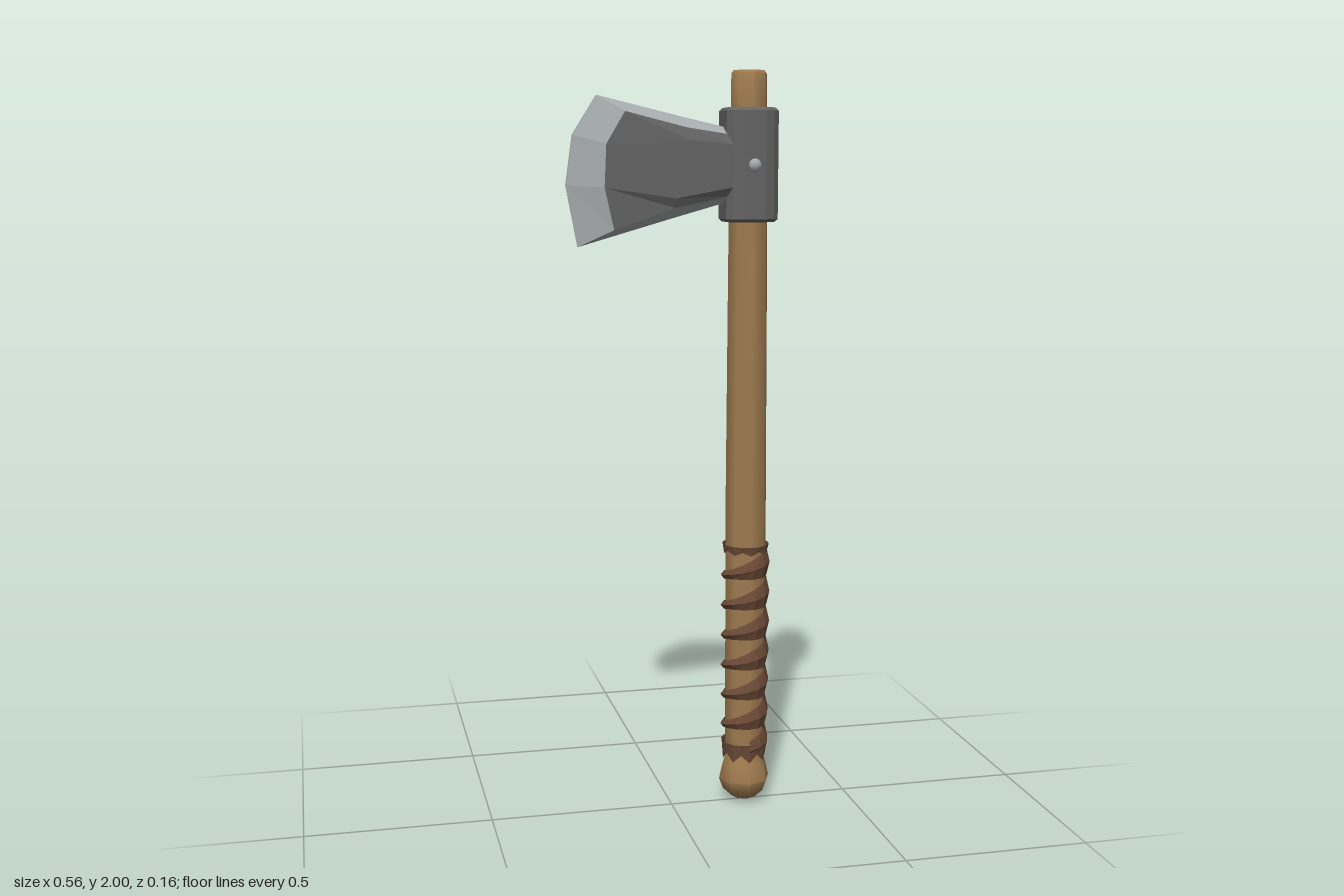
import * as THREE from 'three';
import { toCreasedNormals } from 'three/addons/utils/BufferGeometryUtils.js';

const AXIS_X = 0.207; // handle axis

const mat = (color, extra = {}) => new THREE.MeshStandardMaterial({ color, ...extra });

function add(parent, name, geometry, material) {
  const mesh = new THREE.Mesh(geometry, material);
  mesh.name = name;
  parent.add(mesh);
  return mesh;
}

// Surface between rows of points; every row has the same length.
function skin(rows, flip) {
  const pos = [];
  const tri = (...pts) => (flip ? pts.reverse() : pts).forEach((p) => pos.push(...p));
  for (let i = 0; i < rows.length - 1; i++) {
    for (let j = 0; j < rows[i].length - 1; j++) {
      const a = rows[i][j], b = rows[i + 1][j], c = rows[i + 1][j + 1], d = rows[i][j + 1];
      tri(a, b, c);
      tri(a, c, d);
    }
  }
  const g = new THREE.BufferGeometry();
  g.setAttribute('position', new THREE.Float32BufferAttribute(pos, 3));
  g.computeVertexNormals();
  return g;
}

// Spiral leather strip, widest on the +x side, leaving wood showing elsewhere.
function wrapGeometry() {
  const turns = 6.6, pitch = 0.085, steps = 80, rows = [[], [], []];
  for (let i = 0; i <= steps; i++) {
    const a = (i / steps) * turns * Math.PI * 2;
    const half = pitch * (0.3 + 0.17 * Math.sin(a));
    const y = 0.165 + (a / (Math.PI * 2)) * pitch;
    [[-half, 0.058], [0, 0.067], [half, 0.058]].forEach(([dy, r], k) => {
      const yy = THREE.MathUtils.clamp(y + dy, 0.15, 0.74);
      rows[k].push([Math.sin(a) * r, yy, Math.cos(a) * r]);
    });
  }
  return skin(rows, true);
}

// Leather band with a ragged lower edge.
function cuffGeometry(y0, y1, rag) {
  const lower = [], upper = [];
  for (let i = 0; i <= 16; i++) {
    const a = (i / 16) * Math.PI * 2;
    const s = Math.sin(a), c = Math.cos(a);
    lower.push([s * 0.06, y0 + (i % 2) * rag, c * 0.06]);
    upper.push([s * 0.064, y1, c * 0.064]);
  }
  return skin([lower, upper], true);
}

export function createModel() {
  const root = new THREE.Group();
  root.name = 'axe';
  const wood = mat(0xa07c50);
  const leather = mat(0x6a4936, { flatShading: true, side: THREE.DoubleSide });
  const iron = mat(0x636363, { flatShading: true });
  const ironBlade = mat(0x636363, { flatShading: true, side: THREE.DoubleSide });
  const steel = mat(0xa6abad, { flatShading: true, side: THREE.DoubleSide });

  // Handle parts share one upright axis
  const shaft = new THREE.Group();
  shaft.name = 'shaft';
  shaft.position.x = AXIS_X;
  root.add(shaft);

  const profile = (pts) => pts.map(([r, y]) => new THREE.Vector2(r, y));
  const lathe = (pts) => toCreasedNormals(new THREE.LatheGeometry(profile(pts), 8), 0.9);
  add(shaft, 'handle', lathe([[0.05, 0.1], [0.054, 0.2], [0.057, 0.8], [0.053, 1.6],
    [0.049, 1.9], [0.048, 1.992], [0.042, 2], [0, 2]]), wood);
  add(shaft, 'pommel', lathe([[0, 0.005], [0.035, 0.016], [0.06, 0.04], [0.071, 0.07],
    [0.062, 0.11], [0.051, 0.145], [0, 0.15]]), wood);

  // Grip
  add(shaft, 'gripWrap', wrapGeometry(), leather);
  add(shaft, 'gripLowerCuff', cuffGeometry(0.128, 0.18, 0.022), leather);
  add(shaft, 'gripUpperCuff', cuffGeometry(0.715, 0.74, 0.01), leather);

  // Iron socket: faceted outline, extruded upward with a small bevel
  const quarter = [[0.062, 0.036], [0.05, 0.048], [0.028, 0.057]];
  const outline = [
    ...quarter,
    ...quarter.map(([x, z]) => [-x, z]).reverse(),
    ...quarter.map(([x, z]) => [-x, -z]),
    ...quarter.map(([x, z]) => [x, -z]).reverse(),
  ];
  const bevel = 0.008;
  const socket = new THREE.ExtrudeGeometry(new THREE.Shape(profile(outline)), {
    depth: 0.295 - 2 * bevel, bevelThickness: bevel, bevelSize: bevel, bevelSegments: 1,
  });
  socket.rotateX(-Math.PI / 2);
  socket.translate(0, 1.61 + bevel, 0);
  add(shaft, 'socket', socket, iron);

  // Rivets on both faces
  for (const side of [1, -1]) {
    const rivet = add(shaft, 'rivet', new THREE.SphereGeometry(0.018, 8, 6), mat(0xa6abad));
    rivet.position.set(0, 1.757, side * 0.063);
    rivet.scale.z = 0.85;
  }

  // Blade half: each column runs from the top edge to the bottom edge
  const gap = 0.004;
  const topTip = [-0.198, 1.934, gap], lowTip = [-0.25, 1.548, gap];
  const cutting = [topTip, topTip, [-0.262, 1.833, gap], [-0.28, 1.706, gap], lowTip, lowTip];
  const shoulder = [topTip, [-0.13, 1.893, 0.036], [-0.18, 1.81, 0.04],
    [-0.185, 1.7, 0.04], [-0.16, 1.592, 0.037], lowTip];
  const middle = [[0.03, 1.88, gap], [0.03, 1.853, 0.04], [0.04, 1.82, 0.052],
    [0, 1.672, 0.052], [0, 1.648, 0.04], [0, 1.62, gap]];
  const neck = [[0.15, 1.853, gap], [0.15, 1.835, 0.041], [0.15, 1.81, 0.055],
    [0.15, 1.7, 0.055], [0.15, 1.678, 0.041], [0.15, 1.662, gap]];
  const body = [shoulder, middle, neck];
  const strip = (cols, from, to) => cols.map((c) => c.slice(from, to));

  for (const side of [1, -1]) {
    const half = new THREE.Group();
    half.name = side > 0 ? 'bladeFrontHalf' : 'bladeBackHalf';
    root.add(half);
    const build = (name, cols, material) => {
      const mirrored = cols.map((c) => c.map(([x, y, z]) => [x, y, z * side]));
      add(half, name, skin(mirrored, side > 0), material);
    };
    build('cuttingBevel', [cutting, shoulder], steel);
    build('cheek', strip(body, 1, 5), ironBlade);
    build('topChamfer', strip(body, 0, 2), steel);
    build('lowerChamfer', strip(body, 4, 6), steel);
  }
  return root;
}
